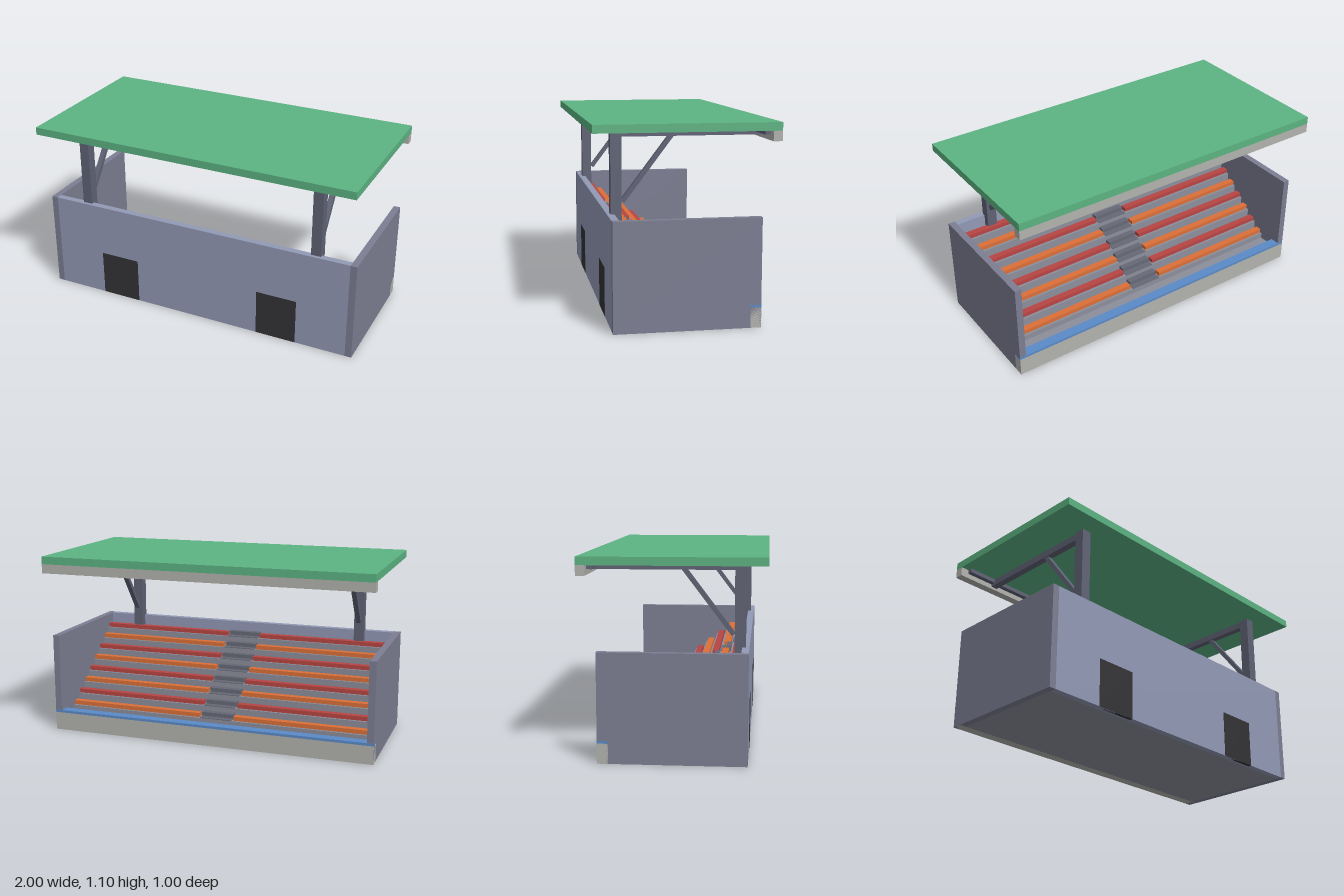
import * as THREE from 'three';

const material = (color) => new THREE.MeshStandardMaterial({ color });
const mats = {
  back: material(0x9299b5), side: material(0x7c7e92), steel: material(0x5f6274),
  roof: material(0x5cb382), concrete: material(0xb2b2ae), rail: material(0x5a8ac8),
  tier: material(0x8c8e9b), aisle: material(0x666976), red: material(0xb84644),
  orange: material(0xdc7038), door: material(0x333336),
};

export function createModel() {
  const model = new THREE.Group();

  // Box given by its [min, max] range on each axis
  function block(name, mat, [x0, x1], [y0, y1], [z0, z1]) {
    const mesh = new THREE.Mesh(new THREE.BoxGeometry(x1 - x0, y1 - y0, z1 - z0), mats[mat]);
    mesh.position.set((x0 + x1) / 2, (y0 + y1) / 2, (z0 + z1) / 2);
    mesh.name = name;
    model.add(mesh);
    return mesh;
  }

  // Enclosing walls and the low wall facing the field
  block('backWall', 'back', [-0.96, 0.96], [0, 0.6], [0.36, 0.4]);
  block('fieldWall', 'concrete', [-1, 1], [0, 0.11], [-0.4, -0.34]);
  block('fieldWallCap', 'rail', [-1, 1], [0.11, 0.125], [-0.4, -0.34]);
  block('walkway', 'tier', [-0.96, 0.96], [0, 0.08], [-0.34, -0.24]);

  // Stepped tiers with benches either side of a central aisle
  const rows = 8, pitch = 0.075, rise = 0.057;
  for (let i = 0; i < rows; i++) {
    const z = -0.24 + i * pitch;
    const y = 0.115 + i * rise;
    block('tier', 'tier', [-0.96, 0.96], [0, y], [z, z + pitch]);
    block('aisleStep', 'aisle', [-0.1, 0.1], [y, y + 0.004], [z, z + pitch / 2]);
    block('aisleHalfStep', 'aisle', [-0.1, 0.1], [y, y + rise / 2], [z + pitch / 2, z + pitch]);
    const color = i % 2 ? 'red' : 'orange';
    block('rightBench', color, [-0.96, -0.11], [y, y + 0.025], [z + 0.015, z + 0.055]);
    block('leftBench', color, [0.11, 0.96], [y, y + 0.025], [z + 0.015, z + 0.055]);
  }

  // Mirrored parts: side walls, doors, posts, roof beams and braces
  for (const s of [-1, 1]) {
    const span = (c, w) => [s * c - w / 2, s * c + w / 2];
    block('sideWall', 'side', span(0.98, 0.04), [0, 0.6], [-0.399, 0.4]);
    block('door', 'door', span(0.525, 0.25), [0, 0.28], [0.38, 0.401]);
    block('post', 'steel', span(0.75, 0.06), [0.5, 1.055], [0.32, 0.38]);
    block('roofBeam', 'steel', span(0.75, 0.04), [1.015, 1.055], [-0.45, 0.32]);

    const low = new THREE.Vector3(s * 0.75, 0.665, 0.314);
    const high = new THREE.Vector3(s * 0.75, 1.03, 0.038);
    const length = low.distanceTo(high);
    const brace = block('brace', 'steel', [-0.015, 0.015], [0, length], [-0.0125, 0.0125]);
    brace.position.copy(low).add(high).multiplyScalar(0.5);
    brace.rotation.x = Math.atan2(high.z - low.z, high.y - low.y);
  }

  // Roof slab, fascia and the strip tucked behind it
  block('roof', 'roof', [-1, 1], [1.055, 1.1], [-0.5, 0.5]);
  block('roofFascia', 'concrete', [-1, 1], [1, 1.055], [-0.5, -0.45]);
  block('fasciaStrip', 'steel', [-0.95, 0.95], [1.03, 1.055], [-0.45, -0.42]);

  return model;
}
